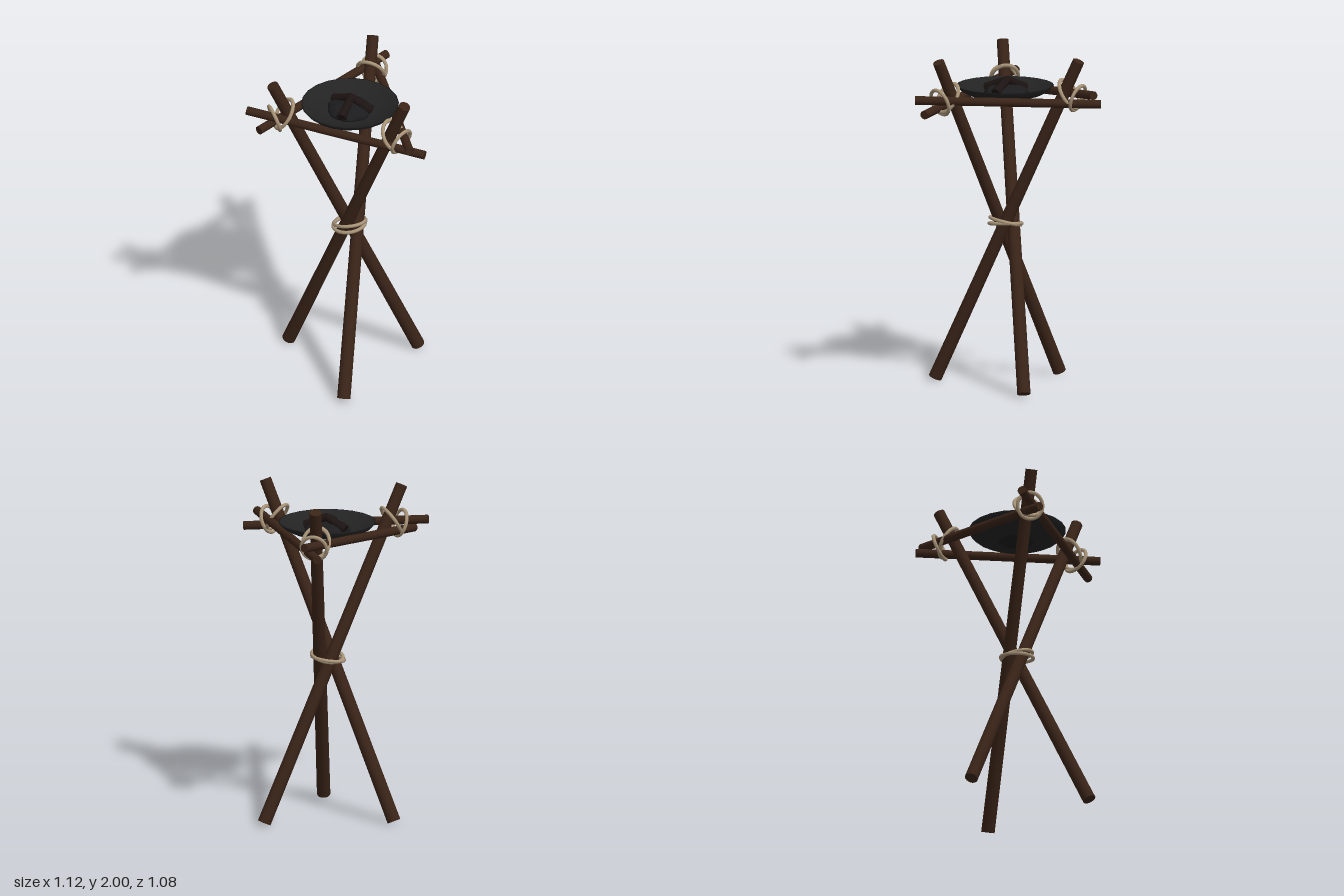
import * as THREE from 'three';

const V = (x, y, z) => new THREE.Vector3(x, y, z);
const mat = (color, extra = {}) => new THREE.MeshStandardMaterial({ color, ...extra });
const UP = V(0, 1, 0);

export function createModel() {
  const model = new THREE.Group();
  const wood = mat(0x3a2418);
  const charred = mat(0x1c1412);
  const rope = mat(0xa89478);
  const iron = mat(0x222322, { side: THREE.DoubleSide });
  const coal = mat(0x1c1c1e, { flatShading: true });

  const add = (name, geometry, material) => {
    const mesh = new THREE.Mesh(geometry, material);
    mesh.name = name;
    model.add(mesh);
    return mesh;
  };

  // Round pole running from a to b
  const pole = (name, a, b, rA, rB, material = wood) => {
    const dir = b.clone().sub(a);
    const mesh = add(name, new THREE.CylinderGeometry(rB, rA, dir.length(), 14), material);
    mesh.position.copy(a).lerp(b, 0.5);
    mesh.quaternion.setFromUnitVectors(UP, dir.normalize());
  };

  // Rope ring lying across the given normal; stretch lengthens it up and down
  const ring = (name, centre, normal, radius, stretch = 1) => {
    const geometry = new THREE.TorusGeometry(radius, 0.011, 8, 32);
    geometry.scale(1, stretch, 1);
    const mesh = add(name, geometry, rope);
    mesh.position.copy(centre);
    mesh.lookAt(centre.clone().add(normal));
  };

  // Three crossing legs
  const legs = [
    [V(0.29, 0.016, -0.24), V(-0.395, 1.984, 0.36)],
    [V(0.12, 0.016, 0.5), V(-0.065, 1.984, -0.395)],
    [V(-0.445, 0.016, -0.01), V(0.42, 1.984, 0.28)],
  ];
  for (const [a, b] of legs) pole('leg', a, b, 0.04, 0.035);

  // Three crossbars lashed into a triangle
  const bars = [
    [V(-0.555, 1.78, 0.37), V(0.555, 1.685, 0.293)],
    [V(-0.45, 1.705, 0.44), V(-0.03, 1.795, -0.525)],
    [V(0.5, 1.755, 0.395), V(-0.11, 1.73, -0.525)],
  ];
  for (const [a, b] of bars) pole('crossbar', a, b, 0.026, 0.026);

  // Crossed lashings at the upper joints: joint centre and outward direction
  const joints = [
    [V(-0.365, 1.765, 0.328), V(-0.76, 0, 0.65)],
    [V(-0.055, 1.775, -0.365), V(-0.05, 0, -1)],
    [V(0.37, 1.75, 0.275), V(0.95, 0, 0.3)],
  ];
  for (const [centre, out] of joints) {
    const inner = centre.clone().addScaledVector(out, -0.028).add(V(0, 0.008, 0));
    const outer = centre.clone().addScaledVector(out, 0.03).add(V(0, -0.012, 0));
    ring('jointLashing', inner, out.clone().multiplyScalar(0.84).add(V(0, 0.54, 0)), 0.08, 1.18);
    ring('jointLashing', outer, out.clone().multiplyScalar(0.95).add(V(0, -0.32, 0)), 0.077, 1.03);
  }

  // Lashing where the legs cross
  ring('centreLashing', V(-0.015, 0.965, 0.09), V(-0.12, 1, 0.08), 0.097);
  ring('centreLashing', V(-0.012, 0.98, 0.088), V(-0.2, 1, -0.16), 0.094);

  // Shallow fire bowl
  const profile = [
    [0, 1.722], [0.13, 1.727], [0.22, 1.748], [0.265, 1.772], [0.29, 1.8],
    [0.28, 1.801], [0.25, 1.782], [0.2, 1.762], [0.12, 1.742], [0, 1.738],
  ].map(([r, y]) => new THREE.Vector2(r, y));
  const bowl = add('bowl', new THREE.LatheGeometry(profile, 22), iron);
  bowl.position.set(-0.01, 0, 0.09);

  // Lumpy mound of coals
  const moundGeometry = new THREE.IcosahedronGeometry(1, 4);
  const p = moundGeometry.attributes.position;
  for (let i = 0; i < p.count; i++) {
    const v = V(0, 0, 0).fromBufferAttribute(p, i);
    const lump = 1 + 0.05 * Math.sin(6 * v.x + 2 * v.y) * Math.cos(7 * v.z) + 0.03 * Math.sin(11 * v.z + 5 * v.x);
    p.setXYZ(i, v.x * lump * 0.132, v.y * lump * 0.05, v.z * lump * 0.132);
  }
  moundGeometry.computeVertexNormals();
  add('coals', moundGeometry, coal).position.set(-0.015, 1.755, 0.085);

  // Charred sticks leaning together over the coals
  const peak = V(-0.01, 1.835, 0.072);
  for (const [x, z] of [[-0.135, 0.035], [0.12, 0.072], [-0.01, 0.22]]) {
    const foot = V(x, 1.772, z);
    pole('firewood', foot, peak, 0.03, 0.022, charred);
  }

  return model;
}
